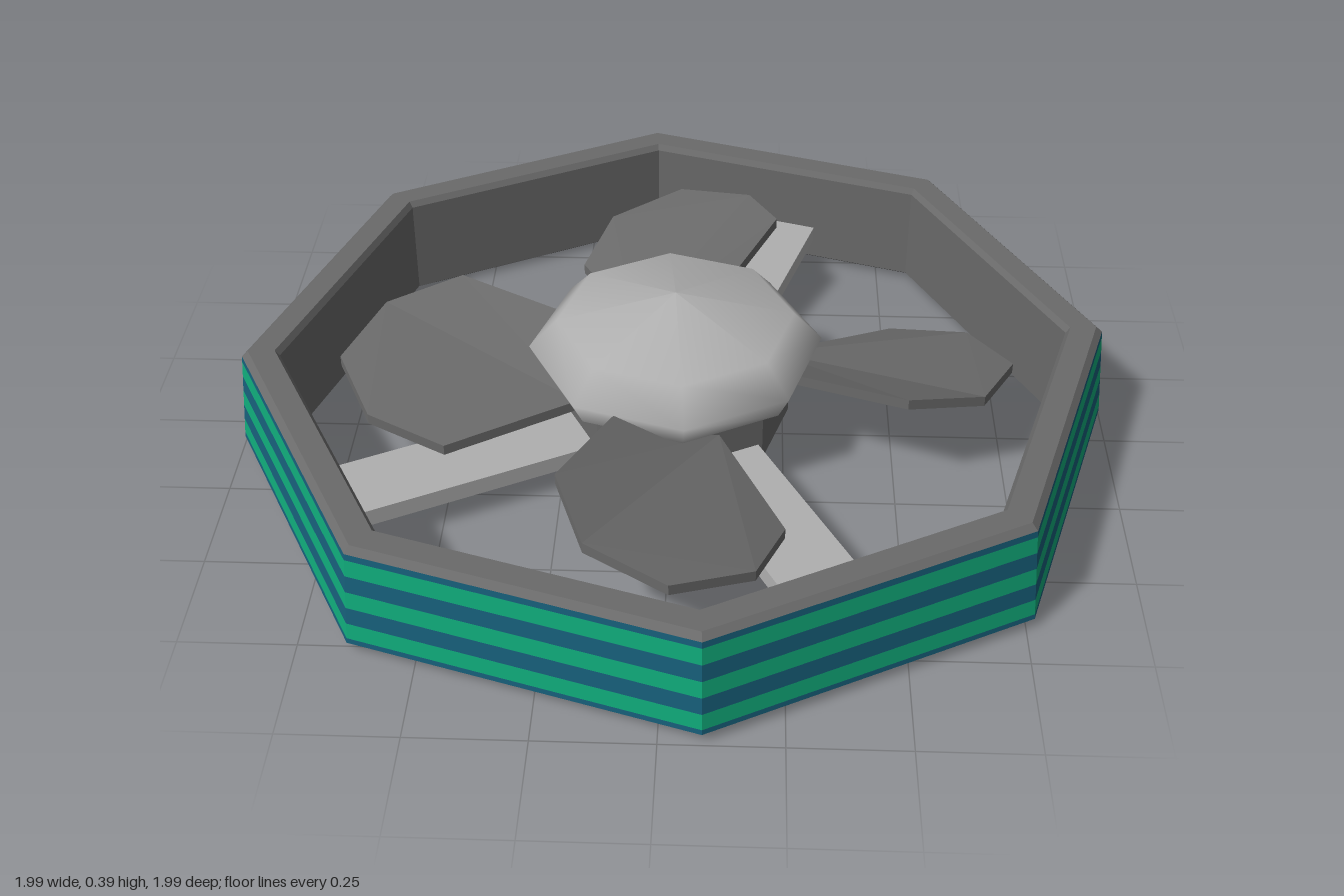
import * as THREE from 'three';

const material = (name, color) => {
  const m = new THREE.MeshStandardMaterial({ color });
  m.name = name;
  return m;
};

const deg = THREE.MathUtils.degToRad;
const TURN = deg(5); // the octagons are turned slightly off axis

// Hard-edged facets
function facet(geometry) {
  const g = geometry.index ? geometry.toNonIndexed() : geometry;
  g.computeVertexNormals();
  return g;
}

// Eight-sided lathe through [radius, height] points
function octagon(points) {
  const profile = points.map(([r, y]) => new THREE.Vector2(r, y));
  return new THREE.LatheGeometry(profile, 8, TURN);
}

// Twisted blade pointing along +z, its +x edge pitched down
function bladeGeometry() {
  const half = [[0.1, 0.22], [0.24, 0.51], [0.175, 0.685]];
  const outline = [
    ...half, [0, 0.77],
    ...half.slice().reverse().map(([x, r]) => [-x, r]),
  ].map(([x, r]) => new THREE.Vector2(x, r));
  const g = new THREE.ExtrudeGeometry(new THREE.Shape(outline), { depth: 0.025, bevelEnabled: false });
  g.rotateX(Math.PI / 2);
  const p = g.attributes.position;
  for (let i = 0; i < p.count; i++) {
    const slope = THREE.MathUtils.mapLinear(p.getZ(i), 0.22, 0.77, 0.45, 0.15);
    p.setY(i, p.getY(i) + 0.205 - p.getX(i) * slope);
  }
  return facet(g);
}

export function createModel() {
  const model = new THREE.Group();
  model.name = 'ductedFan';

  const darkGrey = material('dark grey', 0x6a6a6a);
  const lightGrey = material('light grey', 0xb0b0b0);
  const green = material('green', 0x10ab7a);
  const blue = material('blue', 0x175f7a);

  const add = (name, geometry, mat, angle = 0) => {
    const mesh = new THREE.Mesh(geometry, mat);
    mesh.name = name;
    mesh.rotation.y = angle;
    model.add(mesh);
    return mesh;
  };

  // Duct ring: bevelled top, inner wall and underside
  add('ductRing', facet(octagon([
    [0.98, 0.25], [0.965, 0.264], [0.905, 0.264], [0.895, 0.25],
    [0.895, 0.015], [0.91, 0.005], [0.92, 0], [1, 0.025],
  ])), darkGrey);

  // Striped outer wall, bottom to top
  const levels = [0.025, 0.037, 0.075, 0.115, 0.155, 0.195, 0.235, 0.25];
  const radiusAt = (y) => THREE.MathUtils.mapLinear(y, 0.025, 0.25, 1, 0.98);
  for (let i = 0; i < levels.length - 1; i++) {
    const [low, high] = [levels[i], levels[i + 1]];
    add('wallStripe' + (i + 1),
      facet(octagon([[radiusAt(low), low], [radiusAt(high), high]])),
      i % 2 ? green : blue);
  }

  // Smooth spinner dome with a flat underside
  add('spinnerDome', octagon([
    [0.305, 0.2], [0.333, 0.255], [0.268, 0.325], [0, 0.39],
  ]), lightGrey);
  add('spinnerBase', facet(octagon([[0, 0.2], [0.305, 0.2]])), lightGrey);

  // Motor housing below the spinner
  add('motorHousing', facet(octagon([
    [0, 0.03], [0.235, 0.03], [0.262, 0.055], [0.262, 0.2],
  ])), darkGrey);

  // Four blades
  const blade = bladeGeometry();
  for (let i = 0; i < 4; i++) add('blade' + (i + 1), blade, darkGrey, deg(1 + i * 90));

  // Three struts reaching the middles of ring sides
  const strut = new THREE.BoxGeometry(0.18, 0.04, 0.65);
  strut.translate(0, 0.08, 0.515);
  [27.5, 162.5, -62.5].forEach((a, i) => add('strut' + (i + 1), strut, lightGrey, deg(a)));

  return model;
}
